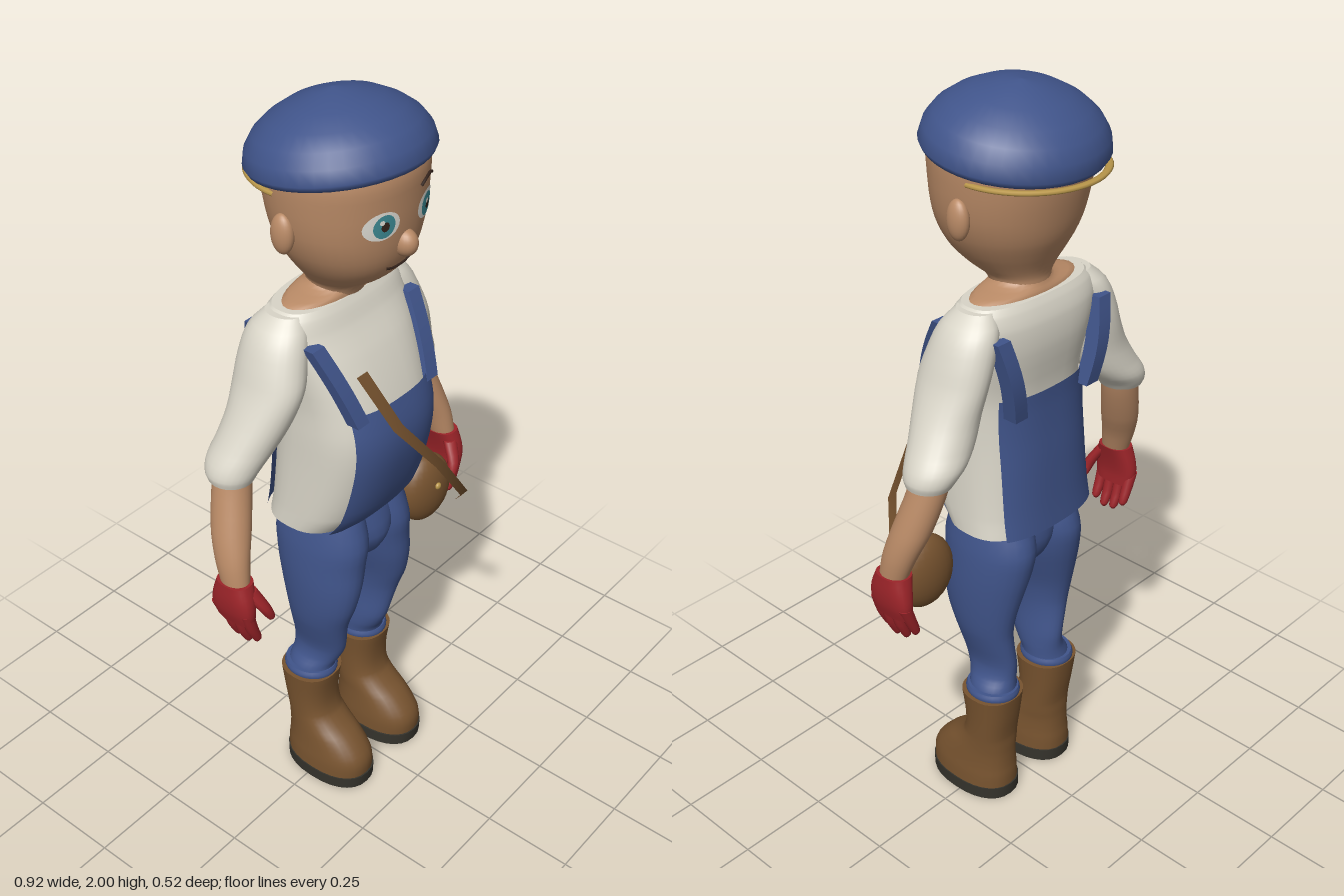
import * as THREE from 'three';

const mat = (name, color, side = THREE.FrontSide) => {
  const m = new THREE.MeshStandardMaterial({ color, side });
  m.name = name;
  return m;
};

// Cross-section rows: [y, xMin, xMax, zBack, zFront], listed bottom to top.
const sym = rows => rows.map(([y, r, zb, zf]) => [y, -r, r, zb, zf]);
const HEAD = sym([[1.50, 0.075, -0.12, 0.02], [1.54, 0.077, -0.116, 0.04], [1.57, 0.104, -0.125, 0.09],
  [1.61, 0.138, -0.146, 0.132], [1.66, 0.168, -0.17, 0.155], [1.72, 0.188, -0.186, 0.165],
  [1.80, 0.198, -0.2, 0.17], [1.86, 0.198, -0.2, 0.17], [1.9, 0.185, -0.19, 0.15]]);
const TORSO = sym([[0.885, 0.195, -0.17, 0.08], [0.94, 0.193, -0.165, 0.122], [1.08, 0.19, -0.156, 0.165],
  [1.18, 0.19, -0.148, 0.174], [1.27, 0.19, -0.146, 0.15], [1.38, 0.205, -0.162, 0.10],
  [1.45, 0.215, -0.16, 0.055], [1.49, 0.207, -0.147, 0.035], [1.51, 0.185, -0.135, 0.022]]);
const NECKLINE = sym([[1.48, 0.18, -0.13, 0.025], [1.512, 0.165, -0.126, 0.02], [1.528, 0.088, -0.118, 0.02], [1.55, 0.07, -0.11, 0.02]]);
const PELVIS = sym([[0.72, 0.03, -0.08, 0.05], [0.76, 0.06, -0.12, 0.09], [0.82, 0.11, -0.14, 0.112], [0.91, 0.15, -0.13, 0.085]]);
// Left-hand limbs
const SLEEVE = [[1.12, 0.297, 0.408, -0.138, -0.022], [1.14, 0.282, 0.412, -0.148, -0.014], [1.17, 0.25, 0.402, -0.155, -0.004],
  [1.21, 0.217, 0.377, -0.15, 0.01], [1.27, 0.19, 0.342, -0.145, 0.03], [1.34, 0.17, 0.307, -0.15, 0.045],
  [1.40, 0.15, 0.285, -0.15, 0.036], [1.465, 0.13, 0.253, -0.14, 0.018], [1.505, 0.13, 0.208, -0.11, -0.01]];
const FOREARM = [[0.84, 0.395, 0.45, -0.05, 0.022], [0.87, 0.387, 0.452, -0.06, 0.02], [0.93, 0.37, 0.449, -0.083, 0.012],
  [1.0, 0.34, 0.434, -0.108, -0.003], [1.12, 0.302, 0.396, -0.13, -0.03], [1.18, 0.3, 0.38, -0.13, -0.03]];
const PALM = [[0.755, 0.402, 0.448, -0.075, 0.04], [0.79, 0.402, 0.457, -0.083, 0.046], [0.83, 0.395, 0.46, -0.078, 0.042], [0.872, 0.384, 0.457, -0.066, 0.027]];
const LEG = [[0.345, 0.045, 0.168, -0.12, 0.02], [0.37, 0.045, 0.16, -0.115, 0.02], [0.40, 0.044, 0.142, -0.112, 0.035],
  [0.44, 0.046, 0.137, -0.114, 0.052], [0.50, 0.052, 0.152, -0.113, 0.064], [0.55, 0.052, 0.165, -0.114, 0.076],
  [0.61, 0.044, 0.173, -0.125, 0.097], [0.68, 0.025, 0.177, -0.142, 0.11], [0.75, 0.008, 0.176, -0.158, 0.112],
  [0.82, 0, 0.17, -0.164, 0.116], [0.91, 0, 0.152, -0.13, 0.09]];
const TROUSER_CUFF = [[0.34, 0.042, 0.175, -0.126, 0.024], [0.352, 0.04, 0.177, -0.128, 0.026], [0.364, 0.044, 0.172, -0.124, 0.022]];
const BOOT = [[0.033, 0.026, 0.192, -0.115, 0.148], [0.07, 0.027, 0.19, -0.115, 0.149], [0.1, 0.03, 0.186, -0.112, 0.137],
  [0.14, 0.034, 0.181, -0.11, 0.10], [0.17, 0.035, 0.178, -0.11, 0.06], [0.205, 0.036, 0.177, -0.11, 0.027],
  [0.27, 0.035, 0.18, -0.12, 0.02], [0.345, 0.03, 0.187, -0.13, 0.03]];
const SOLE = [[0, 0.022, 0.194, -0.117, 0.15], [0.036, 0.022, 0.195, -0.118, 0.152]];

const mirrored = (rows, s) => s > 0 ? rows : rows.map(([y, a, b, c, d]) => [y, -b, -a, c, d]);

// Smoothly interpolated cross-section at height y
function sectionAt(rows, y) {
  let i = 0;
  while (i < rows.length - 2 && y > rows[i + 1][0]) i++;
  const a = rows[i], b = rows[i + 1], h = b[0] - a[0], t = (y - a[0]) / h;
  const p = rows[Math.max(i - 1, 0)], q = rows[Math.min(i + 2, rows.length - 1)];
  return a.map((_, k) => {
    if (k === 0) return y;
    const ma = h * (b[k] - p[k]) / (b[0] - p[0]), mb = h * (q[k] - a[k]) / (q[0] - a[0]);
    const t2 = t * t, t3 = t2 * t;
    return (2 * t3 - 3 * t2 + 1) * a[k] + (t3 - 2 * t2 + t) * ma + (3 * t2 - 2 * t3) * b[k] + (t3 - t2) * mb;
  });
}

// Skin of stacked rounded sections; from/to (angles) and y0/y1 cut out a panel
function loft(rows, { n = 2, seg = 28, steps = 3, pad = 0, from = 0, to = Math.PI * 2, y0, y1 } = {}) {
  const full = to - from > 6.28, cols = full ? seg : seg + 1, pos = [], idx = [], levels = [];
  if (y0 !== undefined) for (let i = 0; i <= 14; i++) levels.push(y0 + (y1 - y0) * i / 14);
  else rows.forEach((r, i) => {
    if (i === rows.length - 1) levels.push(r[0]);
    else for (let k = 0; k < steps; k++) levels.push(r[0] + (rows[i + 1][0] - r[0]) * k / steps);
  });
  const pw = v => Math.sign(v) * Math.abs(v) ** (2 / n);
  const ring = y => {
    const [, xa, xb, za, zb] = sectionAt(rows, y);
    for (let k = 0; k < cols; k++) {
      const t = from + (to - from) * k / seg;
      pos.push((xa + xb) / 2 + ((xb - xa) / 2 + pad) * pw(Math.cos(t)), y, (za + zb) / 2 + ((zb - za) / 2 + pad) * pw(Math.sin(t)));
    }
  };
  levels.forEach(ring);
  for (let j = 0; j < levels.length - 1; j++) for (let k = 0; k < seg; k++) {
    const a = j * cols + k, b = j * cols + (k + 1) % cols, c = b + cols, d = a + cols;
    idx.push(a, d, b, b, d, c);
  }
  if (full) [levels[0], levels[levels.length - 1]].forEach((y, top) => {
    const base = pos.length / 3, [, xa, xb, za, zb] = sectionAt(rows, y);
    ring(y);
    pos.push((xa + xb) / 2, y, (za + zb) / 2);
    for (let k = 0; k < seg; k++) {
      const a = base + k, b = base + (k + 1) % seg;
      idx.push(base + seg, top ? b : a, top ? a : b);
    }
  });
  const g = new THREE.BufferGeometry();
  g.setAttribute('position', new THREE.Float32BufferAttribute(pos, 3));
  g.setIndex(idx);
  g.computeVertexNormals();
  return g;
}

// Rebuild a geometry's vertices by a rule
function warp(g, rule) {
  const p = g.attributes.position;
  for (let i = 0; i < p.count; i++) p.setXYZ(i, ...rule(p.getX(i), p.getY(i), p.getZ(i)));
  g.computeVertexNormals();
  return g;
}

const HEAD_N = 2.1, TORSO_N = 2.6;
function faceZ(x, y) {
  const [, , r, zb, zf] = sectionAt(HEAD, y);
  return (zb + zf) / 2 + (zf - zb) / 2 * (1 - Math.min(1, Math.abs(x / r)) ** HEAD_N) ** (1 / HEAD_N);
}

export function createModel() {
  const model = new THREE.Group();
  model.name = 'boyInOveralls';
  const skin = mat('skin', 0xb98a66), denim = mat('denim blue', 0x40548a, THREE.DoubleSide), cloth = mat('shirt cream', 0xd9d5c8);
  const leather = mat('leather brown', 0x77532f, THREE.DoubleSide), red = mat('glove red', 0x9c2429), rubber = mat('sole dark', 0x35332c);
  const gold = mat('gold', 0xb8964a), white = mat('eye white', 0xe6e4dc), teal = mat('iris teal', 0x3f8f99), dark = mat('dark brown', 0x35241c);
  const add = (name, geo, m, pos = [0, 0, 0], scale = [1, 1, 1]) => {
    const mesh = new THREE.Mesh(geo, m);
    mesh.name = name;
    mesh.position.set(...pos);
    mesh.scale.set(...scale);
    model.add(mesh);
    return mesh;
  };
  const ball = new THREE.SphereGeometry(1, 24, 16);

  // Head and face
  add('head', loft(HEAD, { n: HEAD_N, seg: 40 }), skin);
  add('neckline', loft(NECKLINE), skin);
  add('nose', ball, skin, [0, 1.687, 0.157], [0.028, 0.034, 0.035]);
  const disc = (name, x, y, rx, ry, off, m) => add(name, warp(new THREE.RingGeometry(0, 1, 28, 4),
    (u, v) => [x + u * rx, y + v * ry, faceZ(x + u * rx, y + v * ry) + off]), m);
  const line = (name, pts, r) => add(name, new THREE.TubeGeometry(new THREE.CatmullRomCurve3(
    pts.map(([x, y]) => new THREE.Vector3(x, y, faceZ(x, y) + 0.002))), 16, r, 6), dark);
  line('mouth', [[-0.045, 1.63], [-0.02, 1.624], [0, 1.624], [0.02, 1.624], [0.045, 1.63]], 0.003);
  line('eyebrow', [[0.04, 1.812], [0.065, 1.822], [0.09, 1.824], [0.115, 1.812]], 0.004);

  // Beret with the band showing at the back
  const beret = add('beret', new THREE.LatheGeometry([[0, 0], [0.2, -0.008], [0.222, -0.008], [0.23, 0.006], [0.222, 0.04], [0.2, 0.072],
    [0.165, 0.1], [0.115, 0.126], [0.05, 0.146], [0, 0.153]].map(p => new THREE.Vector2(...p)), 40), denim, [0, 1.85, -0.028], [1, 1, 0.945]);
  beret.rotation.x = -0.14;
  const band = add('backBand', new THREE.TorusGeometry(0.19, 0.01, 8, 32, Math.PI), gold, [0, 1.81, -0.06], [1, 1, 0.6]);
  band.rotation.x = -Math.PI / 2;

  // Shirt and overalls
  add('shirtBody', loft(TORSO, { n: TORSO_N, seg: 40 }), cloth);
  const panel = { n: TORSO_N, seg: 20, pad: 0.01, y0: 0.885, y1: 1.27 };
  add('bib', loft(TORSO, { ...panel, from: Math.PI / 4, to: Math.PI * 3 / 4 }), denim);
  add('backPanel', loft(TORSO, { ...panel, from: Math.PI * 5 / 4, to: Math.PI * 7 / 4 }), denim);
  add('trouserSeat', loft(PELVIS), denim);
  const strap = (name, s, top, bottom, bulge, depth) => add(name, warp(new THREE.BoxGeometry(0.042, 1, depth, 1, 8, 1), (x, y, z) => {
    const t = y + 0.5, at = k => bottom[k] + (top[k] - bottom[k]) * t;
    return [x + s * at(0), at(1), z + at(2) + bulge * Math.sin(Math.PI * t)];
  }).toNonIndexed(), denim);

  for (const s of [1, -1]) {
    const side = s > 0 ? 'left' : 'right';
    const limb = (name, rows, m, opt) => add(side + name, loft(mirrored(rows, s), opt), m);

    // Ears and eyes
    add(side + 'Ear', ball, skin, [s * 0.195, 1.722, -0.035], [0.022, 0.05, 0.031]);
    disc(side + 'EyeWhite', s * 0.078, 1.755, 0.045, 0.035, 0.002, white);
    disc(side + 'Iris', s * 0.075, 1.755, 0.027, 0.029, 0.004, teal);
    disc(side + 'Pupil', s * 0.075, 1.755, 0.01, 0.012, 0.006, dark);
    disc(side + 'EyeGlint', s * 0.075 - 0.01, 1.768, 0.006, 0.006, 0.008, white);

    // Straps
    strap(side + 'FrontStrap', s, [0.18, 1.445, 0.035], [0.134, 1.25, 0.135], 0.008, 0.035);
    strap(side + 'BackStrap', s, [0.178, 1.45, -0.14], [0.128, 1.23, -0.15], -0.015, 0.04);

    // Arms and gloves
    limb('Sleeve', SLEEVE, cloth);
    limb('Forearm', FOREARM, skin);
    limb('Palm', PALM, red, { n: 2.5 });
    [[-0.068, 0.7], [-0.035, 0.675], [-0.002, 0.67], [0.028, 0.685]].forEach(([z, y], i) => limb('Finger' + (i + 1),
      [[y, 0.395, 0.408, z - 0.006, z + 0.006], [y + 0.01, 0.39, 0.415, z - 0.012, z + 0.012],
        [y + 0.05, 0.402, 0.435, z - 0.015, z + 0.015], [0.79, 0.415, 0.452, z - 0.016, z + 0.016]], red, { seg: 12 }));
    limb('Thumb', [[0.755, 0.37, 0.382, 0.05, 0.06], [0.765, 0.366, 0.39, 0.042, 0.066],
      [0.8, 0.375, 0.41, 0.03, 0.063], [0.85, 0.39, 0.435, 0, 0.035]], red, { seg: 12 });

    // Legs and boots
    limb('TrouserLeg', LEG, denim);
    limb('TrouserCuff', TROUSER_CUFF, denim);
    limb('Boot', BOOT, leather, { n: 2.3 });
    limb('Sole', SOLE, rubber, { n: 2.3, steps: 1 });
  }

  // Shoulder bag with its flat carrying strap
  add('bag', ball, leather, [0.273, 0.775, 0.035], [0.088, 0.106, 0.05]).rotation.y = -0.15;
  add('bagButton', ball, gold, [0.272, 0.8, 0.085], [0.01, 0.01, 0.007]);
  const path = [[-0.143, 1.4, 0.152], [-0.1, 1.26, 0.228], [0.035, 1.09, 0.256], [0.2, 0.885, 0.22], [0.262, 0.8, 0.155]];
  add('bagStrap', warp(new THREE.PlaneGeometry(1, 4, 1, 4), (x, y) => {
    const i = Math.round(2 - y), [px, py, pz] = path[i];
    return [px + x * (0.038 - i * 0.003), py, pz];
  }), leather);
  return model;
}
